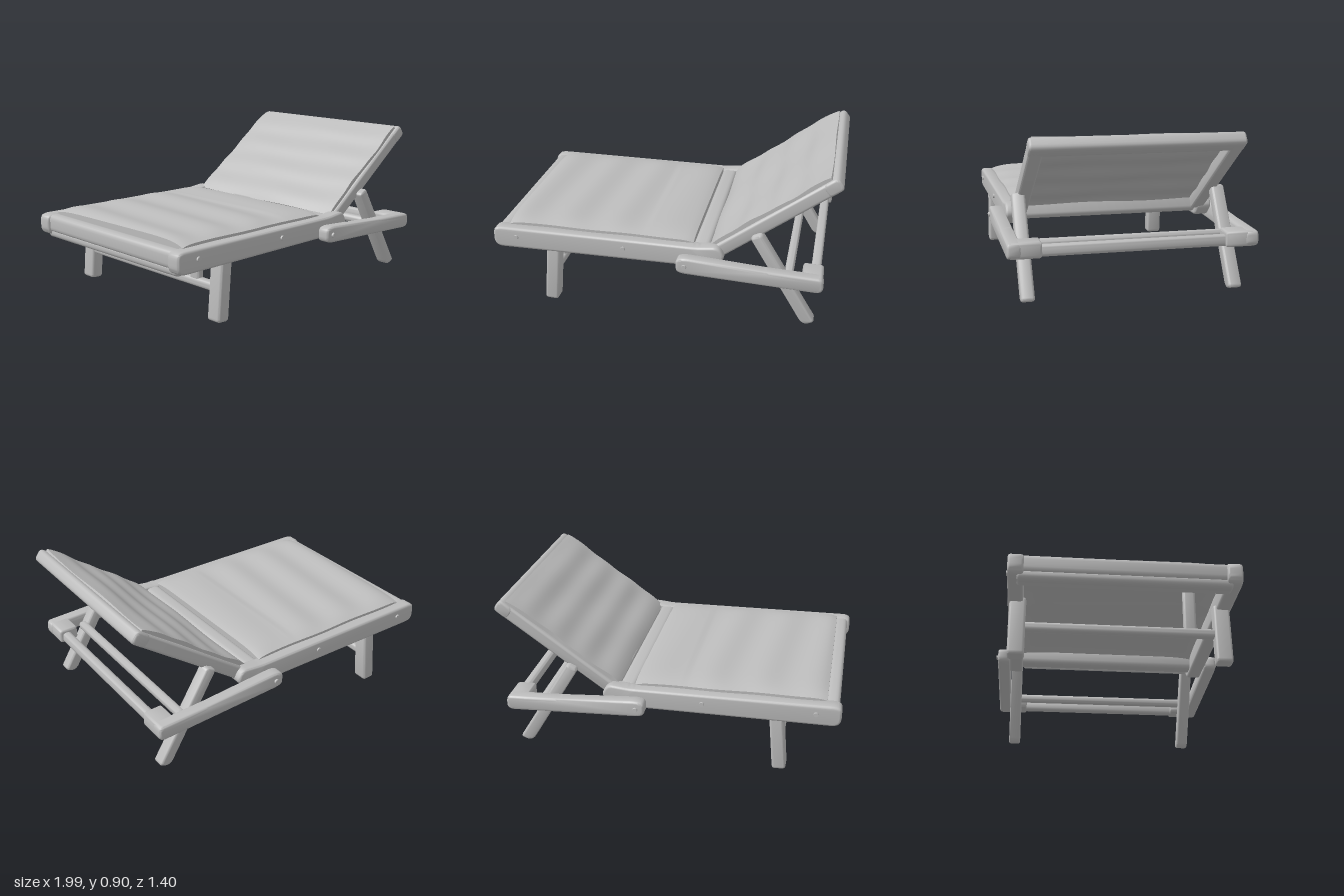
import * as THREE from 'three';
import { toCreasedNormals } from 'three/addons/utils/BufferGeometryUtils.js';

const grey = new THREE.MeshStandardMaterial({ color: 0xbcbcbc });
grey.name = 'weathered grey';

function add(parent, name, geometry) {
  const mesh = new THREE.Mesh(geometry, grey);
  mesh.name = name;
  parent.add(mesh);
  return mesh;
}

// Outline with softened corners
function softShape(points, r) {
  const pts = points.map(p => new THREE.Vector2(...p));
  const shape = new THREE.Shape();
  pts.forEach((p, i) => {
    const prev = pts[(i + pts.length - 1) % pts.length], next = pts[(i + 1) % pts.length];
    const toward = q => p.clone().add(q.clone().sub(p).setLength(Math.min(r, p.distanceTo(q) * 0.45)));
    const a = toward(prev), b = toward(next);
    if (i === 0) shape.moveTo(a.x, a.y); else shape.lineTo(a.x, a.y);
    shape.quadraticCurveTo(p.x, p.y, b.x, b.y);
  });
  shape.closePath();
  return shape;
}

// Wooden piece: xy outline carried from z0 to z1 with worn edges
function wood(parent, name, points, z0, z1, r = 0.02) {
  const b = 0.014;
  const g = new THREE.ExtrudeGeometry(softShape(points, r), {
    depth: z1 - z0 - 2 * b, bevelEnabled: true, bevelThickness: b, bevelSize: b,
    bevelOffset: -b, bevelSegments: 3, curveSegments: 4,
  });
  g.translate(0, 0, z0 + b);
  return add(parent, name, toCreasedNormals(g, 1));
}

// The same piece on both sides
function pair(parent, name, points, z0, z1, r) {
  wood(parent, name + 'Left', points, z0, z1, r);
  wood(parent, name + 'Right', points, -z1, -z0, r);
}

const rect = (x0, x1, y0, y1) => [[x0, y0], [x1, y0], [x1, y1], [x0, y1]];

// Cloth panel whose upper and lower faces follow height rules
function cloth(parent, name, x0, x1, halfZ, top, thickness) {
  const g = new THREE.BoxGeometry(1, 1, 1, 56, 1, 32);
  const p = g.attributes.position;
  for (let i = 0; i < p.count; i++) {
    const u = p.getX(i) + 0.5, w = p.getZ(i) * 2;
    const x = x0 + (x1 - x0) * u;
    const y = top(x, w, u) - (p.getY(i) < 0 ? thickness : 0);
    p.setXYZ(i, x, y, w * (halfZ + 0.003 * Math.sin(x * 13 + w)));
  }
  g.computeVertexNormals();
  return add(parent, name, g);
}

export function createModel() {
  const model = new THREE.Group();
  model.name = 'sunLounger';

  // Main frame
  pair(model, 'sideRail', [[-1, 0.355], [-0.97, 0.33], [0.3, 0.318], [0.37, 0.385], [0.33, 0.45],
    [0.2, 0.437], [-0.97, 0.455], [-1, 0.44]], 0.535, 0.62, 0.03);
  wood(model, 'footBar', rect(-0.985, -0.905, 0.35, 0.452), -0.6, 0.6, 0.03);
  wood(model, 'lowerFootBar', [[-0.975, 0.325], [-0.95, 0.31], [-0.87, 0.32], [-0.87, 0.365], [-0.975, 0.365]],
    -0.57, 0.57);
  wood(model, 'hingeBar', rect(0.178, 0.275, 0.338, 0.435), -0.55, 0.55, 0.03);

  // Foot-end legs with their stretcher
  pair(model, 'frontLeg', [[-0.71, 0.005], [-0.63, 0], [-0.6, 0.36], [-0.68, 0.36]], 0.518, 0.61);
  wood(model, 'legStretcher', rect(-0.685, -0.63, 0.16, 0.21), -0.54, 0.54);
  wood(model, 'stretcherPost', rect(-0.68, -0.635, 0.185, 0.45), 0.35, 0.42);

  // Rear arms with inward end blocks and crossbars
  pair(model, 'rearArm', [[0.1, 0.315], [0.14, 0.302], [0.9, 0.262], [0.925, 0.28], [0.92, 0.35],
    [0.6, 0.365], [0.15, 0.4], [0.1, 0.39]], 0.615, 0.69, 0.025);
  pair(model, 'armEndBlock', [[0.8, 0.268], [0.918, 0.263], [0.918, 0.35], [0.8, 0.355]], 0.505, 0.68);
  wood(model, 'rearCrossbar', rect(0.845, 0.9, 0.267, 0.33), -0.53, 0.53);
  wood(model, 'innerCrossbar', rect(0.7, 0.75, 0.275, 0.325), -0.59, 0.59);

  // Slanted back props
  pair(model, 'backProp', [[0.805, 0.025], [0.835, 0.01], [0.888, 0.03], [0.567, 0.555], [0.505, 0.525]],
    0.54, 0.615);

  // Round bolt heads
  for (const side of [-1, 1]) {
    for (const [x, y, z] of [[-0.86, 0.4, 0.618], [-0.22, 0.39, 0.618], [0.15, 0.35, 0.69]]) {
      const bolt = add(model, 'bolt', new THREE.CylinderGeometry(0.013, 0.016, 0.022, 12));
      bolt.rotation.x = side * Math.PI / 2;
      bolt.position.set(x, y, side * z);
    }
  }

  // Seat cloth, rippled and pulled down at its borders
  cloth(model, 'seatCloth', -0.915, 0.18, 0.558, (x, w, u) => {
    const edge = Math.pow(Math.abs(w), 8);
    const ends = Math.pow(Math.abs(u * 2 - 1), 16);
    const ripple = 0.008 * Math.sin(x * 21 + 0.8 + w * 0.9) * (u < 0.75 ? 1 : 0.4);
    return 0.492 - 0.018 * u + ripple * (1 - edge) - 0.022 * edge - 0.014 * ends;
  }, 0.045);

  // Tilted backrest, built flat and then raised
  const back = new THREE.Group();
  back.name = 'backrest';
  back.position.set(0.36, 0.385, 0);
  back.rotation.z = 0.623;
  model.add(back);
  pair(back, 'backRail', rect(-0.04, 0.785, 0, 0.078), 0.5, 0.578, 0.025);
  wood(back, 'headBar', rect(0.69, 0.79, 0, 0.078), -0.58, 0.58, 0.028);
  cloth(back, 'backCloth', -0.045, 0.755, 0.56, (x, w, u) => {
    const edge = Math.pow(Math.abs(w), 8);
    const fold = Math.sin(u * Math.PI * 8 - 1);
    const ends = Math.pow(Math.abs(u * 2 - 1), 16);
    return 0.099 + 0.005 * fold * (1 - 0.6 * edge) + 0.003 * Math.sin(w * 5 + u * 9) - 0.008 * ends;
  }, 0.035);
  // Lower hem tucked down behind the hinge bar
  wood(back, 'clothHem', [[-0.075, 0.0], [-0.035, 0.005], [-0.005, 0.08], [-0.045, 0.09]], -0.53, 0.53, 0.015);

  return model;
}
